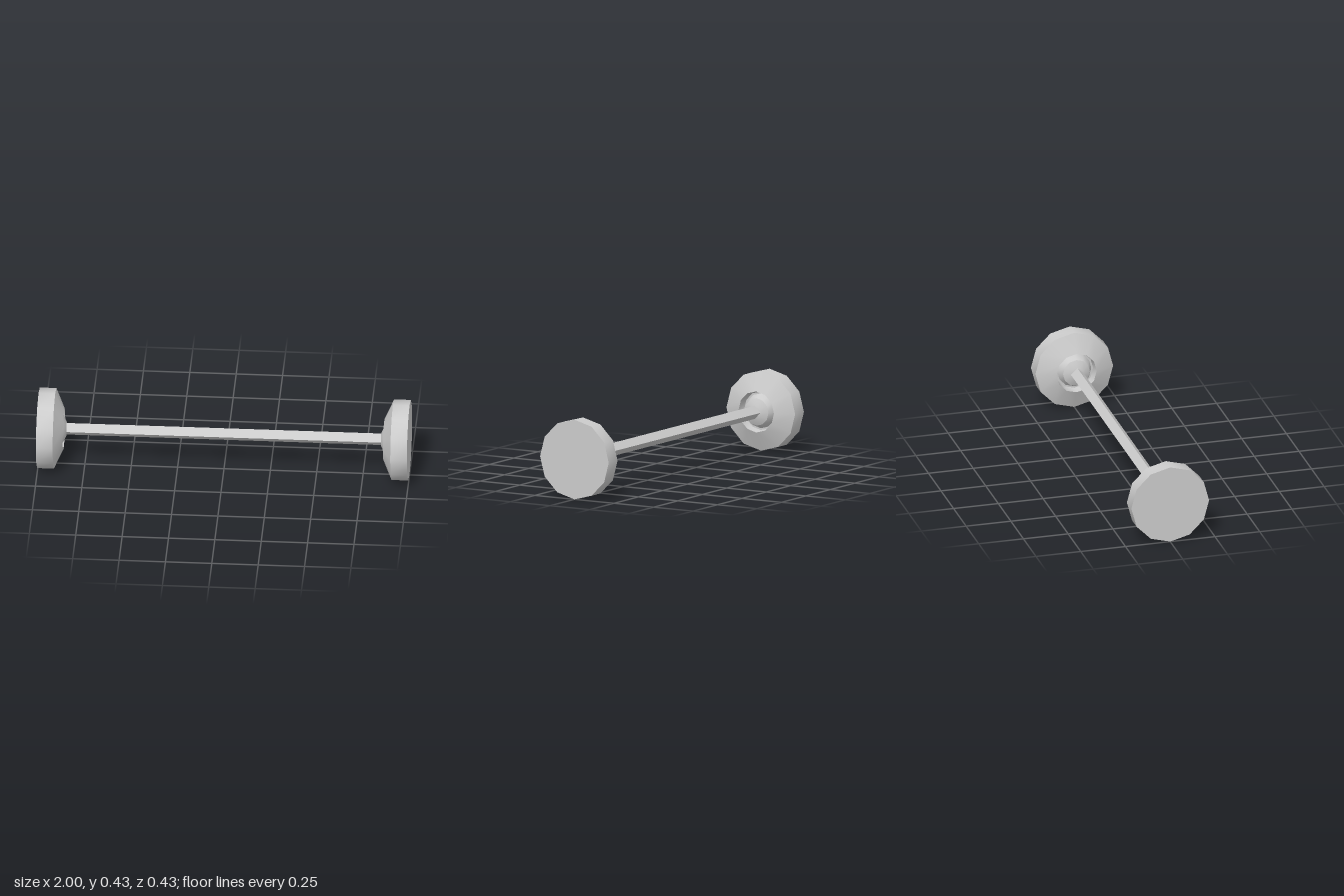
import * as THREE from 'three';
import { toCreasedNormals } from 'three/addons/utils/BufferGeometryUtils.js';

const SIDES = 12;
const WHEEL_RADIUS = 0.217;
const AXLE_RADIUS = 0.036;

// Wheel profile as [radius, distance from the middle], from hub centre to outer face
const WHEEL_PROFILE = [
  [0, 0.845], [0.036, 0.848], [0.075, 0.866], [0.095, 0.91], // domed hub
  [0.105, 0.91], [0.112, 0.863],                             // recess around the hub
  [WHEEL_RADIUS, 0.91], [WHEEL_RADIUS, 1], [0, 1],           // chamfer, tread, outer face
];

export function createModel() {
  const model = new THREE.Group();
  model.name = 'wheelAxle';
  const material = new THREE.MeshStandardMaterial({ color: 0xcccccc });
  const axleMaterial = new THREE.MeshStandardMaterial({ color: 0xcccccc, flatShading: true });

  // Square bar standing on its edge
  const axle = new THREE.Mesh(new THREE.CylinderGeometry(AXLE_RADIUS, AXLE_RADIUS, 1.74, 4), axleMaterial);
  axle.name = 'axle';
  axle.rotation.z = -Math.PI / 2;
  axle.position.y = WHEEL_RADIUS;
  model.add(axle);

  // Matching wheels at both ends
  const points = WHEEL_PROFILE.map(([r, x]) => new THREE.Vector2(r, x));
  const lathe = new THREE.LatheGeometry(points, SIDES).rotateZ(-Math.PI / 2);
  const wheelGeometry = toCreasedNormals(lathe, 0.7);
  for (const [name, turn] of [['leftWheel', 0], ['rightWheel', Math.PI]]) {
    const wheel = new THREE.Mesh(wheelGeometry, material);
    wheel.name = name;
    wheel.rotation.y = turn;
    wheel.position.y = WHEEL_RADIUS;
    model.add(wheel);
  }
  return model;
}
